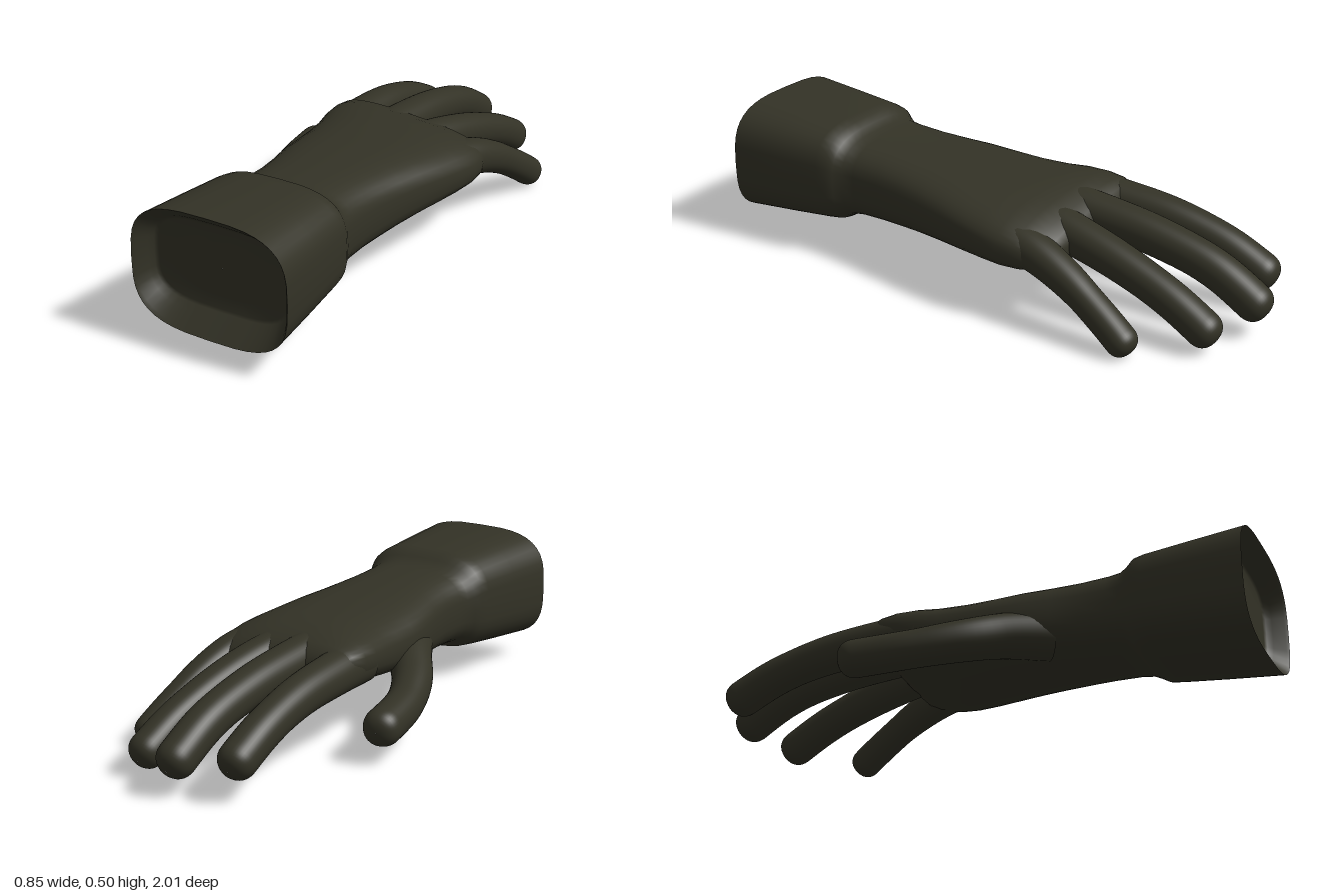
import * as THREE from 'three';

const V = (x, y, z) => new THREE.Vector3(x, y, z);
const SIDES = 40;

// One closed rounded cross-section; n = 2 is an ellipse, higher is boxier
function ring(c, side, up, rx, ry, n = 2, tilt = 0) {
  const pts = [];
  for (let j = 0; j < SIDES; j++) {
    const a = (j / SIDES) * Math.PI * 2, cx = Math.cos(a), sy = Math.sin(a);
    const u = Math.sign(cx) * Math.abs(cx) ** (2 / n);
    const v = Math.sign(sy) * Math.abs(sy) ** (2 / n);
    pts.push(c.clone().addScaledVector(side, u * rx).addScaledVector(up, v * ry - tilt * u));
  }
  return pts;
}

// Smooth skin over a list of rings
function loft(rings) {
  const pos = [], idx = [];
  rings.forEach(r => r.forEach(p => pos.push(p.x, p.y, p.z)));
  for (let i = 0; i < rings.length - 1; i++) {
    for (let j = 0; j < SIDES; j++) {
      const k = (j + 1) % SIDES, a = i * SIDES, b = a + SIDES;
      idx.push(a + j, b + j, a + k, a + k, b + j, b + k);
    }
  }
  const g = new THREE.BufferGeometry();
  g.setAttribute('position', new THREE.Float32BufferAttribute(pos, 3));
  g.setIndex(idx);
  g.computeVertexNormals();
  return g;
}

const X = V(1, 0, 0), Y = V(0, 1, 0);
// Section from its limits: z, left, right, bottom, top, boxiness, tilt
const section = ([z, x0, x1, y0, y1, n, tilt = 0]) =>
  ring(V((x0 + x1) / 2, (y0 + y1) / 2, z), X, Y, (x1 - x0) / 2, (y1 - y0) / 2, n, tilt);

// Round-tipped finger along a curve, radius easing from r0 to r1
function finger(path, r0, r1) {
  const curve = new THREE.CatmullRomCurve3(path.map(p => V(...p)));
  const len = curve.getLength(), body = 1 - r1 / len, us = [];
  for (let i = 0; i < 24; i++) us.push((i / 24) * body);
  for (let i = 0; i <= 10; i++) us.push(body + (1 - body) * Math.sin((i / 10) * Math.PI / 2));
  return loft(us.map(u => {
    const t = curve.getTangentAt(u);
    const side = t.clone().cross(Y).normalize(), up = side.clone().cross(t);
    const s = Math.max(0, (u - body) / (1 - body));
    const r = THREE.MathUtils.lerp(r0, r1, Math.min(1, u * 1.6)) * Math.max(1e-4, 1 - s ** 2.4) ** (1 / 2.4);
    return ring(curve.getPointAt(u), side, up, r, r, 2.15);
  }));
}

export function createModel() {
  const group = new THREE.Group();
  const fabric = new THREE.MeshStandardMaterial({ color: 0x333226 });
  fabric.name = 'dark olive fabric';
  const add = (name, geo) => {
    const m = new THREE.Mesh(geo, fabric);
    m.name = name;
    group.add(m);
  };

  // Flared cuff, wrist and palm in one skin
  add('cuffAndPalm', loft([
    [1.0, -0.2, 0.39, 0.08, 0.51, 3.2],
    [0.8, -0.183, 0.373, 0.097, 0.497, 3.2],
    [0.64, -0.168, 0.358, 0.112, 0.486, 3.2],
    [0.6, -0.163, 0.353, 0.116, 0.48, 3.1],
    [0.575, -0.15, 0.342, 0.13, 0.46, 3],
    [0.545, -0.137, 0.326, 0.143, 0.443, 3],
    [0.5, -0.132, 0.318, 0.148, 0.438, 3],
    [0.4, -0.137, 0.318, 0.151, 0.43, 3],
    [0.3, -0.155, 0.328, 0.154, 0.422, 3],
    [0.2, -0.18, 0.343, 0.156, 0.415, 2.9],
    [0.1, -0.195, 0.362, 0.158, 0.408, 2.8],
    [0, -0.203, 0.38, 0.162, 0.401, 2.7, 0.005],
    [-0.1, -0.215, 0.395, 0.167, 0.396, 2.6, 0.012],
    [-0.18, -0.23, 0.402, 0.176, 0.391, 2.6, 0.02],
    [-0.25, -0.235, 0.395, 0.188, 0.38, 2.7, 0.025],
    [-0.31, -0.23, 0.375, 0.205, 0.36, 2.8, 0.03],
    [-0.345, -0.215, 0.345, 0.222, 0.337, 2.8, 0.03],
    [-0.365, -0.19, 0.3, 0.245, 0.31, 2.8, 0.02],
    [-0.37, 0.07, 0.08, 0.275, 0.28, 2],
  ].map(section)));

  // Shallow recess inside the cuff opening
  add('cuffLining', loft([
    [0.92, 0.094, 0.096, 0.299, 0.301, 3.2],
    [0.92, -0.05, 0.24, 0.2, 0.4, 3.2],
    [0.922, -0.15, 0.34, 0.155, 0.443, 3.6],
    [0.93, -0.162, 0.352, 0.147, 0.452, 3.6],
    [0.95, -0.172, 0.362, 0.128, 0.467, 3.4],
    [0.99, -0.191, 0.381, 0.089, 0.501, 3.2],
    [1.0, -0.2, 0.39, 0.08, 0.51, 3.2],
  ].map(section)));

  // Four fingers curling down toward the tips
  add('indexFinger', finger([[-0.15, 0.29, -0.18], [-0.163, 0.285, -0.34], [-0.175, 0.265, -0.55],
    [-0.185, 0.215, -0.74], [-0.191, 0.125, -0.93]], 0.078, 0.065));
  add('middleFinger', finger([[0.01, 0.31, -0.18], [0.007, 0.3, -0.34], [0.004, 0.272, -0.58],
    [0.002, 0.215, -0.8], [0.002, 0.105, -1.0]], 0.076, 0.066));
  add('ringFinger', finger([[0.14, 0.3, -0.18], [0.16, 0.28, -0.34], [0.178, 0.235, -0.54],
    [0.192, 0.165, -0.74], [0.201, 0.07, -0.92]], 0.074, 0.063));
  add('littleFinger', finger([[0.3, 0.28, -0.16], [0.32, 0.258, -0.3], [0.341, 0.205, -0.44],
    [0.362, 0.125, -0.58], [0.38, 0.04, -0.705]], 0.074, 0.055));

  // Thumb leaving the side of the palm
  add('thumb', finger([[-0.06, 0.235, 0.27], [-0.155, 0.222, 0.13], [-0.245, 0.187, 0.01],
    [-0.315, 0.155, -0.14], [-0.372, 0.132, -0.39]], 0.085, 0.066));

  return group;
}
